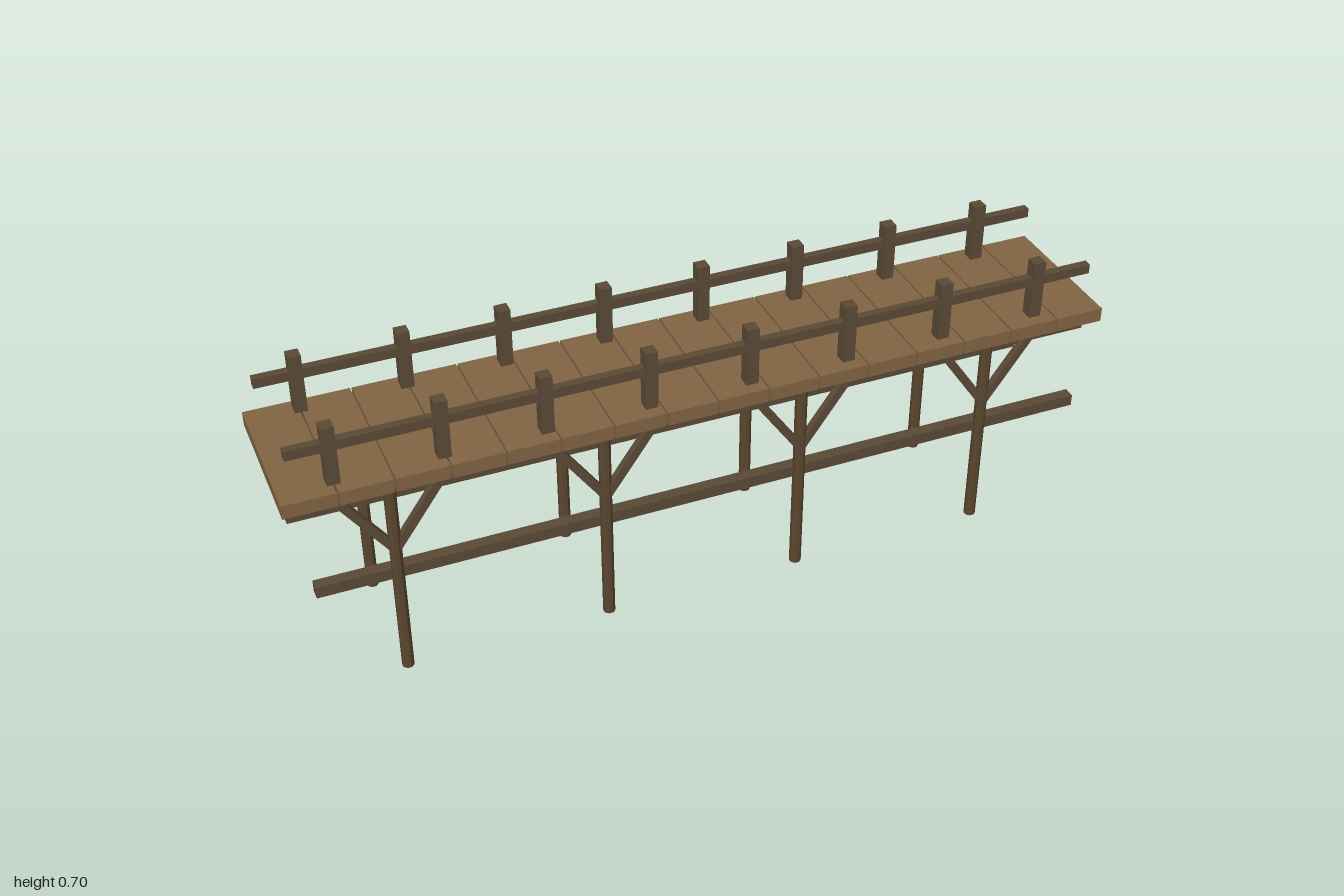
import * as THREE from 'three';

export function createModel() {
  const model = new THREE.Group();
  model.name = 'woodenWalkway';

  const material = (name, color) => {
    const m = new THREE.MeshStandardMaterial({ color, flatShading: true });
    m.name = name;
    return m;
  };
  const plankWood = material('plankWood', 0x826444);
  const beamWood = material('beamWood', 0x5a4a36);
  const legWood = material('legWood', 0x5a462d);

  const add = (name, geometry, mat, x, y, z) => {
    const mesh = new THREE.Mesh(geometry, mat);
    mesh.name = name;
    mesh.position.set(x, y, z);
    model.add(mesh);
    return mesh;
  };

  // Deck: sixteen boards laid crosswise with narrow gaps
  const plank = new THREE.BoxGeometry(0.121, 0.035, 0.367);
  for (let i = 0; i < 16; i++) {
    add('deckPlank', plank, plankWood, -0.9385 + i * 1.877 / 15, 0.5375, 0);
  }

  const railPost = new THREE.BoxGeometry(0.03, 0.168, 0.031);
  const rail = new THREE.BoxGeometry(1.945, 0.024, 0.02);
  const beam = new THREE.BoxGeometry(1.915, 0.029, 0.029);
  const leg = new THREE.CylinderGeometry(0.0145, 0.0145, 0.54, 8);
  leg.rotateY(Math.PI / 8);
  const braceLength = Math.hypot(0.13, 0.185);
  const brace = new THREE.BoxGeometry(0.02, braceLength, 0.018);

  const postXs = [-0.876, -0.63, -0.394, -0.149, 0.096, 0.339, 0.585, 0.831];
  const legXs = [-0.76, -0.266, 0.22, 0.705];
  const sides = [
    { side: 1, postZ: 0.1375, beamZ: 0.1375 },
    { side: -1, postZ: -0.1485, beamZ: -0.1445 },
  ];

  for (const { side, postZ, beamZ } of sides) {
    // Handrail and its posts
    add('handrail', rail, beamWood, 0, 0.652, postZ);
    for (const x of postXs) add('railPost', railPost, beamWood, x, 0.619, postZ);

    // Long beams under the deck and halfway down the legs
    add('upperBeam', beam, beamWood, 0.012, 0.503, beamZ);
    add('lowerBeam', beam, beamWood, 0.012, 0.273, beamZ);

    // Round legs, each with a pair of diagonal braces
    for (const x of legXs) {
      add('leg', leg, legWood, x, 0.27, side * 0.154);
      for (const dir of [-1, 1]) {
        const b = add('brace', brace, beamWood, x + dir * 0.065, 0.4385, side * 0.155);
        b.rotation.z = -dir * Math.atan2(0.13, 0.185);
      }
    }
  }
  return model;
}
